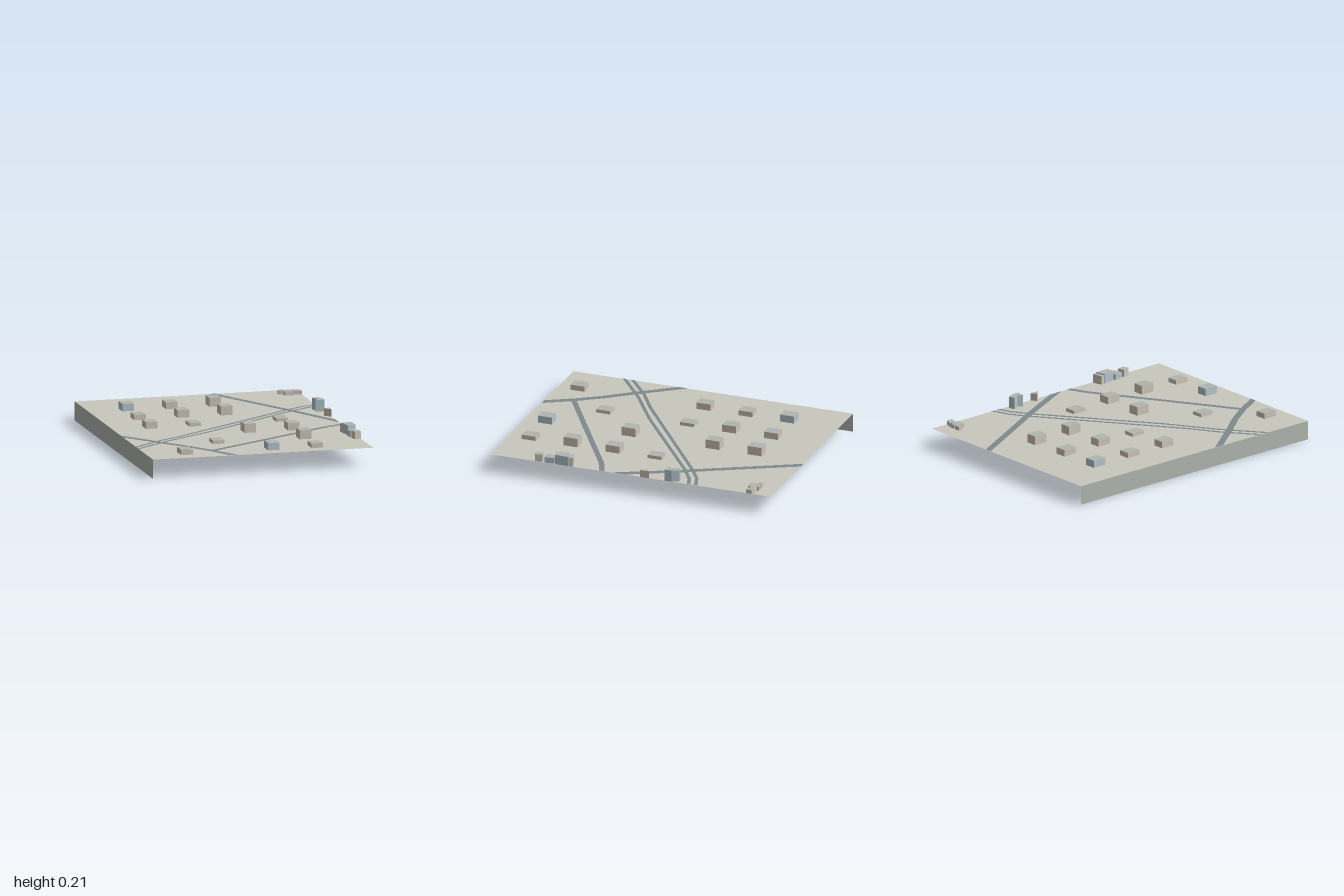
import * as THREE from 'three';

const W = 0.76, D = 1, Y = 0.13; // half width, half depth, ground level
const mat = (color) => new THREE.MeshStandardMaterial({ color, side: THREE.DoubleSide, flatShading: true });

export function createModel() {
  const model = new THREE.Group();
  const groundMat = mat(0xc8c8be), roadMat = mat(0x808a8e), vergeMat = mat(0xcdcdc5);
  const roofMat = mat(0xb0b5b0), beige = mat(0xcfc5b8), blue = mat(0xb6c6cc);

  const add = (name, geometry, material, parent = model) => {
    const mesh = new THREE.Mesh(geometry, material);
    mesh.name = name;
    parent.add(mesh);
    return mesh;
  };
  const group = (name) => {
    const g = new THREE.Group();
    g.name = name;
    model.add(g);
    return g;
  };

  // Ground sheet and the single skirt along its left-hand edge on the plan
  add('ground', new THREE.PlaneGeometry(2 * W, 2 * D).rotateX(-Math.PI / 2), groundMat).position.y = Y;
  add('edgeWall', new THREE.PlaneGeometry(2 * D, Y).rotateY(Math.PI / 2), roofMat).position.set(-W, Y / 2, 0);

  // Flat mitred strip along a path; ends on the border are cut flush with it
  function ribbon(path, width, y) {
    const pts = path.map(([x, z]) => new THREE.Vector2(x, z));
    const last = pts.length - 1, pos = [], idx = [];
    pts.forEach((p, i) => {
      const a = p.clone().sub(pts[Math.max(i - 1, 0)]).normalize();
      const b = pts[Math.min(i + 1, last)].clone().sub(p).normalize();
      const t = a.clone().add(b).normalize();
      const seg = i ? a : b;
      const k = width / 2 / t.dot(seg);
      for (const s of [1, -1]) {
        const v = new THREE.Vector2(p.x + s * k * t.y, p.y - s * k * t.x);
        if (i === 0 || i === last) {
          if (Math.abs(p.x) === W) v.addScaledVector(t, (p.x - v.x) / t.x);
          else if (Math.abs(p.y) === D) v.addScaledVector(t, (p.y - v.y) / t.y);
        }
        pos.push(v.x, y, v.y);
      }
      if (i) {
        const n = 2 * i;
        idx.push(n - 2, n - 1, n, n - 1, n + 1, n);
      }
    });
    const g = new THREE.BufferGeometry();
    g.setAttribute('position', new THREE.Float32BufferAttribute(pos, 3));
    g.setIndex(idx);
    g.computeVertexNormals();
    // keep the upper side as the front
    if (g.attributes.normal.getY(0) < 0) {
      g.setIndex(idx.slice().reverse());
      g.computeVertexNormals();
    }
    return g;
  }

  // Roads and the twin railway tracks, each with a pale verge beneath
  const ways = [
    ['eastRoad', 0.045, [[0.185, -D], [0.46, -0.49], [0.55, -0.33], [0.66, -0.11], [W, 0.09]]],
    ['westRoad', 0.045, [[-W, 0.215], [-0.55, 0.49], [-0.42, 0.65], [-0.31, 0.81], [-0.2, D]]],
    ['branchRoad', 0.037, [[-0.3, 0.82], [0.2, 0.52], [0.63, 0.26], [W, 0.205]]],
    ['upperTrack', 0.024, [[-W, 0.575], [-0.55, 0.41], [-0.37, 0.3], [0.51, -0.34], [0.64, -0.425], [W, -0.465]]],
    ['lowerTrack', 0.024, [[-W, 0.635], [-0.5, 0.435], [-0.18, 0.23], [0.55, -0.31], [0.675, -0.385], [W, -0.415]]],
  ];
  const roads = group('roads');
  ways.forEach(([name, width, path], i) => {
    add(name + 'Verge', ribbon(path, width + 0.012, Y + 0.0006), vergeMat, roads);
    add(name, ribbon(path, width, Y + 0.0012 + i * 0.0002), roadMat, roads);
  });

  // Regular block buildings: x, z, height
  const blocks = group('blockBuildings');
  const blockData = [
    [-0.5, -0.645, 0.05, blue], [-0.2, -0.645, 0.045], [0.1, -0.645, 0.06],
    [-0.5, -0.345, 0.035], [-0.2, -0.345, 0.05], [0.1, -0.345, 0.06],
    [-0.5, -0.045, 0.045], [-0.2, -0.045, 0.023], [0.4, -0.045, 0.023],
    [0.1, 0.255, 0.06], [0.4, 0.255, 0.05],
    [-0.2, 0.555, 0.023], [0.4, 0.555, 0.06],
    [-0.5, 0.855, 0.036], [0.1, 0.855, 0.05, blue], [0.4, 0.855, 0.03],
  ];
  for (const [x, z, h, wall = beige] of blockData) {
    const mats = [wall, wall, roofMat, roofMat, wall, wall];
    add('blockBuilding', new THREE.BoxGeometry(0.08, h, 0.1), mats, blocks).position.set(x, Y + h / 2, z);
  }

  // Irregular buildings along the right-hand border: height, footprint
  const border = group('borderBuildings');
  const footprints = [
    [0.027, beige, [[0.61, -0.89], [0.65, -0.89], [0.655, -0.87], [0.66, -0.89], [0.69, -0.89], [0.69, -0.87],
      [0.71, -0.885], [W, -0.865], [W, -0.825], [0.7, -0.835], [0.7, -0.815], [0.64, -0.815], [0.64, -0.855], [0.61, -0.86]]],
    [0.08, blue, [[0.695, -0.33], [0.74, -0.34], [W, -0.29], [W, -0.24], [0.7, -0.25], [0.72, -0.28]]],
    [0.05, beige, [[0.72, -0.11], [W, -0.13], [W, -0.065]]],
    [0.06, beige, [[0.685, 0.43], [0.755, 0.415], [W, 0.44], [0.69, 0.455]]],
    [0.066, blue, [[0.69, 0.46], [W, 0.445], [W, 0.54], [0.705, 0.552]]],
    [0.04, blue, [[0.698, 0.562], [0.755, 0.547], [W, 0.615], [0.705, 0.625]]],
    [0.05, beige, [[0.705, 0.643], [0.752, 0.632], [W, 0.685], [0.718, 0.695]]],
  ];
  for (const [h, wall, outline] of footprints) {
    const shape = new THREE.Shape(outline.map(([x, z]) => new THREE.Vector2(x, -z)));
    const geo = new THREE.ExtrudeGeometry(shape, { depth: h, bevelEnabled: false }).rotateX(-Math.PI / 2);
    add('borderBuilding', geo, [roofMat, wall], border).position.y = Y;
  }
  return model;
}
